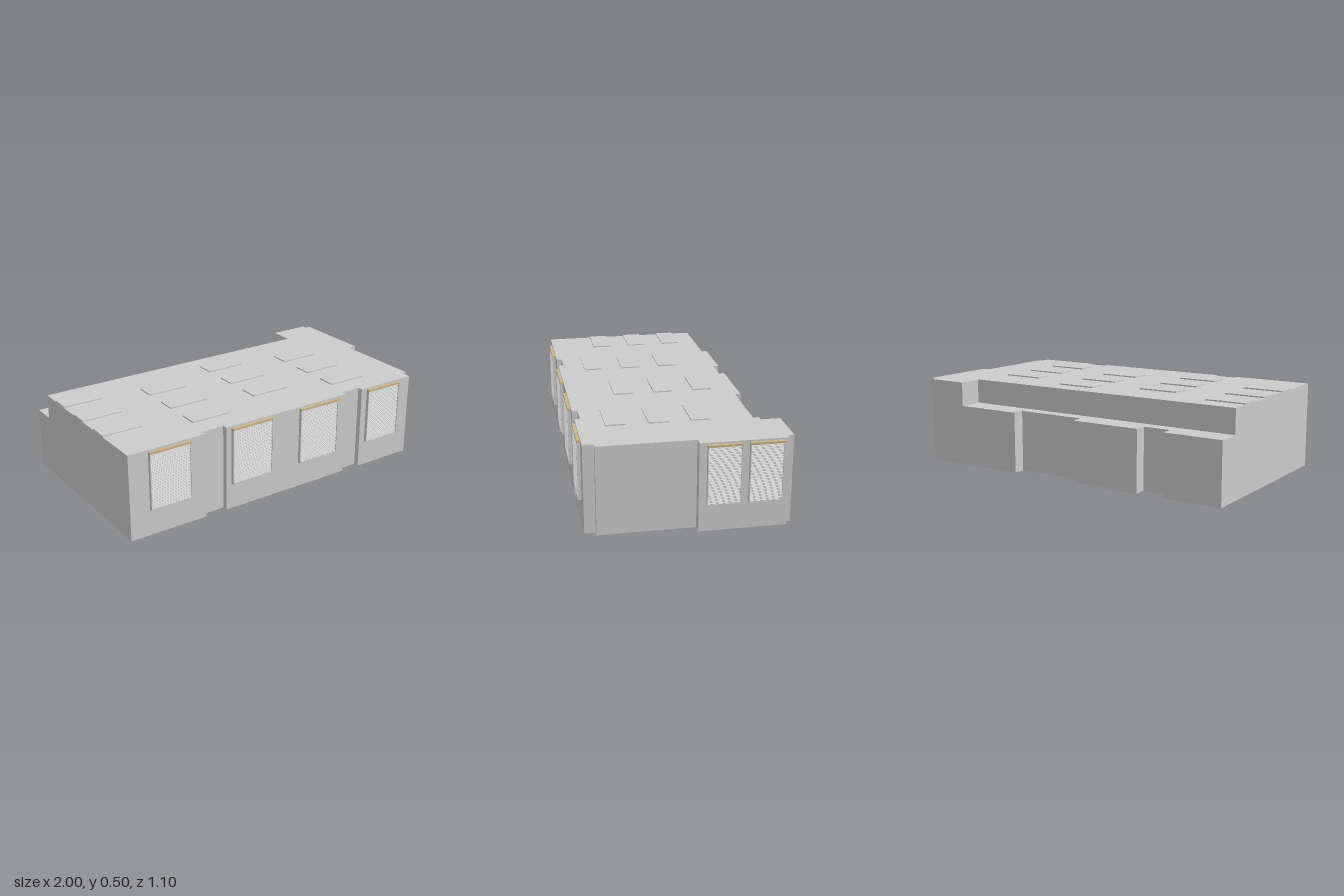
import * as THREE from 'three';

const grey = new THREE.MeshStandardMaterial({ color: 0xcccccc, flatShading: true });
const tan = new THREE.MeshStandardMaterial({ color: 0xc8b48c, flatShading: true });

const ROOF = 0.49, TERRACE = 0.35;

function add(parent, name, geometry, material = grey) {
  const mesh = new THREE.Mesh(geometry, material);
  mesh.name = name;
  parent.add(mesh);
  return mesh;
}

function box(parent, name, w, h, d, x, y, z, material) {
  const mesh = add(parent, name, new THREE.BoxGeometry(w, h, d), material);
  mesh.position.set(x, y, z);
  return mesh;
}

// Upright prism over a plan outline given as [x, z]
function prism(plan, bottom, top) {
  const shape = new THREE.Shape(plan.map(([x, z]) => new THREE.Vector2(x, -z)));
  return new THREE.ExtrudeGeometry(shape, { depth: top - bottom, bevelEnabled: false })
    .rotateX(-Math.PI / 2).translate(0, bottom, 0);
}

// Louvred blind lying against a wall at z = 0 and facing +z
function createBlind(width) {
  const blind = new THREE.Group();
  blind.name = 'windowBlind';
  const bottom = 0.15, top = 0.48, head = 0.012, depth = 0.018, slats = 36;
  box(blind, 'headRail', width, head, depth, 0, top - head / 2, depth / 2, tan);
  box(blind, 'bottomRail', width, 0.006, depth, 0, bottom + 0.003, depth / 2);
  for (const s of [-1, 1]) {
    box(blind, 'sideGuide', 0.005, top - bottom - head, depth,
      s * (width / 2 - 0.0025), (top + bottom - head) / 2, depth / 2);
  }
  const pitch = (top - head - bottom - 0.006) / slats;
  for (let i = 0; i < slats; i++) {
    const slat = box(blind, 'slat', width - 0.01, 0.0015, 0.015,
      0, bottom + 0.006 + (i + 0.5) * pitch, depth / 2);
    slat.rotation.x = 0.4;
  }
  return blind;
}

export function createModel() {
  const model = new THREE.Group();
  model.name = 'building';

  // Front and left walls with their corner steps and pilaster grooves
  const frontAndSide = [
    [0.95, -0.55], [0.95, -0.52], [0.98, -0.52], [0.98, -0.05], [0.93, -0.05],
    [0.93, 0.47], [0.9, 0.47], [0.9, 0.53], [0.53, 0.53], [0.53, 0.5],
    [0.41, 0.5], [0.41, 0.53], [-0.41, 0.53], [-0.41, 0.5], [-0.54, 0.5],
    [-0.54, 0.53], [-1, 0.53],
  ];
  // Recessed rear wall of the lower storey
  const rear = [
    [-1, -0.55], [-0.66, -0.55], [-0.66, -0.48], [-0.5, -0.48], [-0.5, -0.55],
    [-0.09, -0.55], [-0.09, -0.48], [0.32, -0.48], [0.32, -0.55],
  ];
  add(model, 'lowerWalls', prism([...rear, ...frontAndSide], 0, TERRACE));

  // Upper part, set back behind a terrace
  const setBack = [[-1, -0.41], [0.71, -0.41], [0.71, -0.55]];
  add(model, 'upperWalls', prism([...setBack, ...frontAndSide], TERRACE, ROOF));

  // Staggered roof panels
  [-0.882, -0.405, 0.072, 0.548].forEach((x, col) => {
    for (let row = 0; row < 3; row++) {
      const z = -0.243 + row * 0.228 + (col % 2) * 0.114;
      box(model, 'roofPanel', 0.234, 0.008, 0.108, x, ROOF + 0.003, z);
    }
  });

  // Blinds on the front wall: [centre x, width]
  for (const [x, width] of [[-0.761, 0.246], [-0.246, 0.262], [0.21, 0.267], [0.689, 0.24]]) {
    const blind = createBlind(width);
    blind.position.set(x, 0, 0.53);
    model.add(blind);
  }
  // Blinds on the left wall
  for (const z of [-0.18, -0.4]) {
    const blind = createBlind(0.18);
    blind.position.set(0.98, 0, z);
    blind.rotation.y = Math.PI / 2;
    model.add(blind);
  }

  return model;
}
